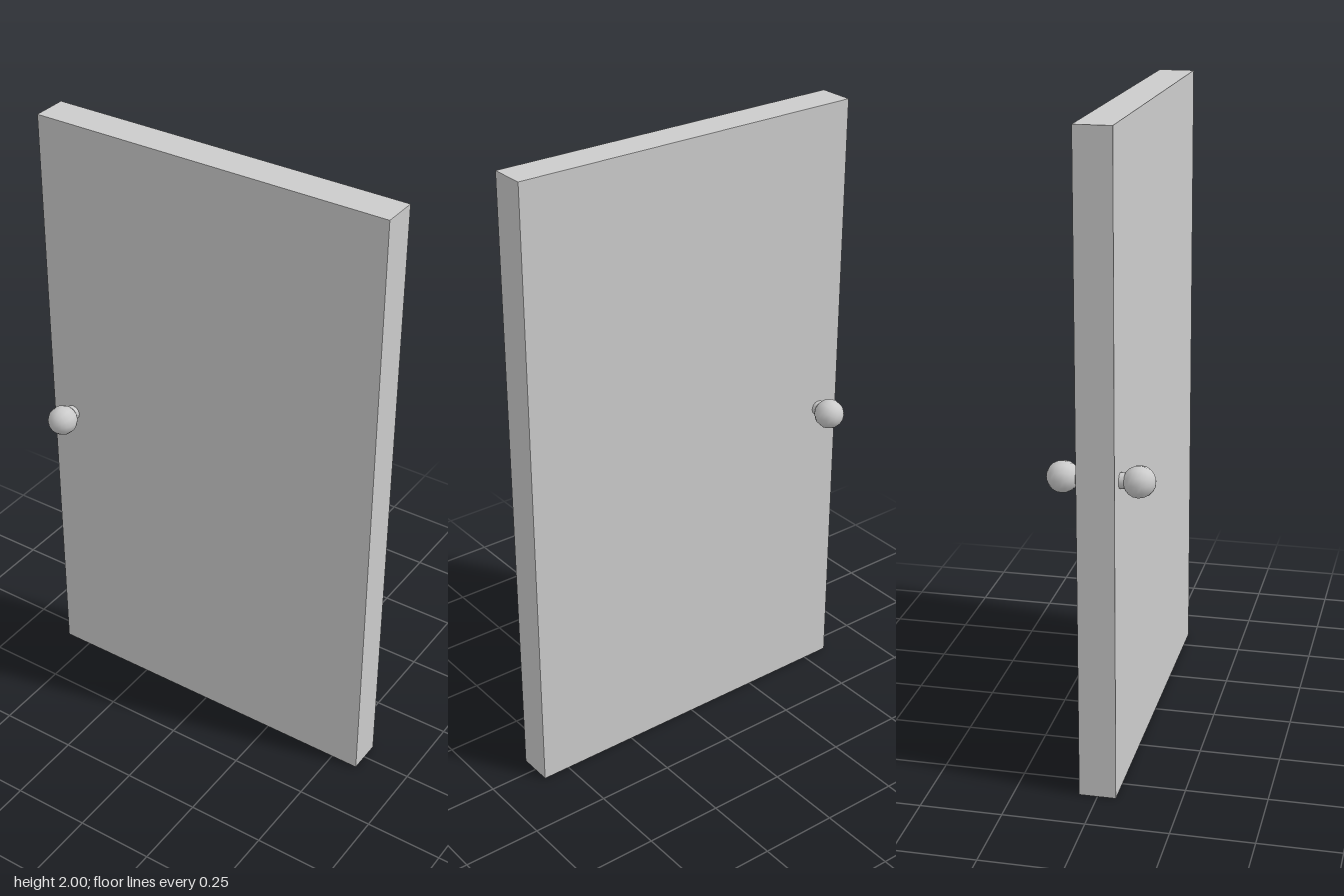
import * as THREE from 'three';

const WIDTH = 1.18, HEIGHT = 2, DEPTH = 0.112;
const KNOB_X = -0.515, KNOB_Y = 0.98, KNOB_Z = 0.112, KNOB_R = 0.048;

export function createModel() {
  const group = new THREE.Group();
  const material = new THREE.MeshStandardMaterial({ color: 0xcccccc });

  const add = (name, geometry, x, y, z) => {
    const mesh = new THREE.Mesh(geometry, material);
    mesh.name = name;
    mesh.position.set(x, y, z);
    group.add(mesh);
  };

  // Plain door slab
  add('doorPanel', new THREE.BoxGeometry(WIDTH, HEIGHT, DEPTH), 0, HEIGHT / 2, 0);

  // Round knob on a short stem, one per face
  const knob = new THREE.SphereGeometry(KNOB_R, 12, 10).rotateX(Math.PI / 2);
  const stemLength = KNOB_Z - DEPTH / 2;
  const stem = new THREE.CylinderGeometry(0.024, 0.024, stemLength, 12).rotateX(Math.PI / 2);
  for (const [side, s] of [['front', 1], ['back', -1]]) {
    add(side + 'KnobStem', stem, KNOB_X, KNOB_Y, s * (DEPTH / 2 + stemLength / 2));
    add(side + 'Knob', knob, KNOB_X, KNOB_Y, s * KNOB_Z);
  }
  return group;
}
